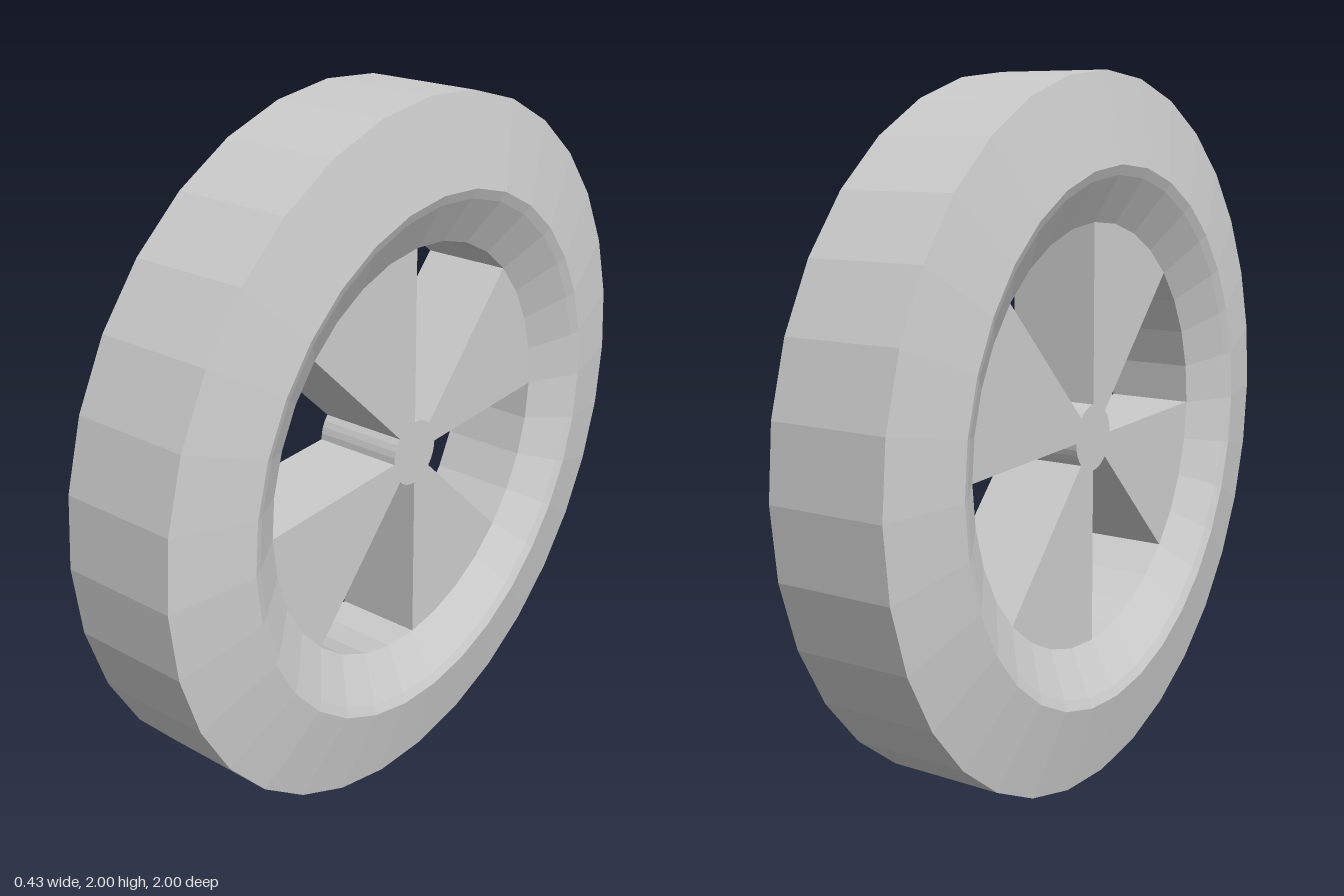
import * as THREE from 'three';

const SIDES = 32;
const HUB_R = 0.095, RIM_R = 0.6, HALF = 0.13;
const material = new THREE.MeshStandardMaterial({ color: 0xcccccc, flatShading: true });

function addPart(parent, name, geometry) {
  const mesh = new THREE.Mesh(geometry, material);
  mesh.name = name;
  parent.add(mesh);
  return mesh;
}

// Wedge between hub and rim, covering 45 degrees from the given start angle
function spokeGeometry(start) {
  const steps = SIDES / 8;
  const points = [];
  const arcPoint = (r, i) =>
    new THREE.Vector2(r * Math.cos(start + (i * 2 * Math.PI) / SIDES), r * Math.sin(start + (i * 2 * Math.PI) / SIDES));
  for (let i = 0; i <= steps; i++) points.push(arcPoint(RIM_R, i));
  for (let i = steps; i >= 0; i--) points.push(arcPoint(HUB_R, i));
  const geometry = new THREE.ExtrudeGeometry(new THREE.Shape(points), { depth: 2 * HALF, bevelEnabled: false });
  return geometry.translate(0, 0, -HALF).rotateY(Math.PI / 2);
}

export function createModel() {
  const model = new THREE.Group();
  model.name = 'wheel';
  const wheel = new THREE.Group();
  wheel.name = 'wheelAssembly';
  wheel.position.y = 1;
  model.add(wheel);

  // Tyre and dished rim: one closed ring, radius against axle position
  const side = [[1, 0.165], [0.755, 0.215], [0.727, 0.203], [RIM_R, HALF]];
  const profile = [
    ...side.map(([r, x]) => new THREE.Vector2(r, x)),
    ...side.map(([r, x]) => new THREE.Vector2(r, -x)).reverse(),
  ];
  profile.push(profile[0].clone());
  addPart(wheel, 'tyreAndRim', new THREE.LatheGeometry(profile, SIDES).rotateZ(-Math.PI / 2));

  // Hub
  addPart(wheel, 'hub', new THREE.CylinderGeometry(HUB_R, HUB_R, 2 * HALF, SIDES).rotateZ(-Math.PI / 2));

  // Four wedge spokes
  for (let i = 0; i < 4; i++) addPart(wheel, `spoke${i + 1}`, spokeGeometry((i * Math.PI) / 2));

  return model;
}
